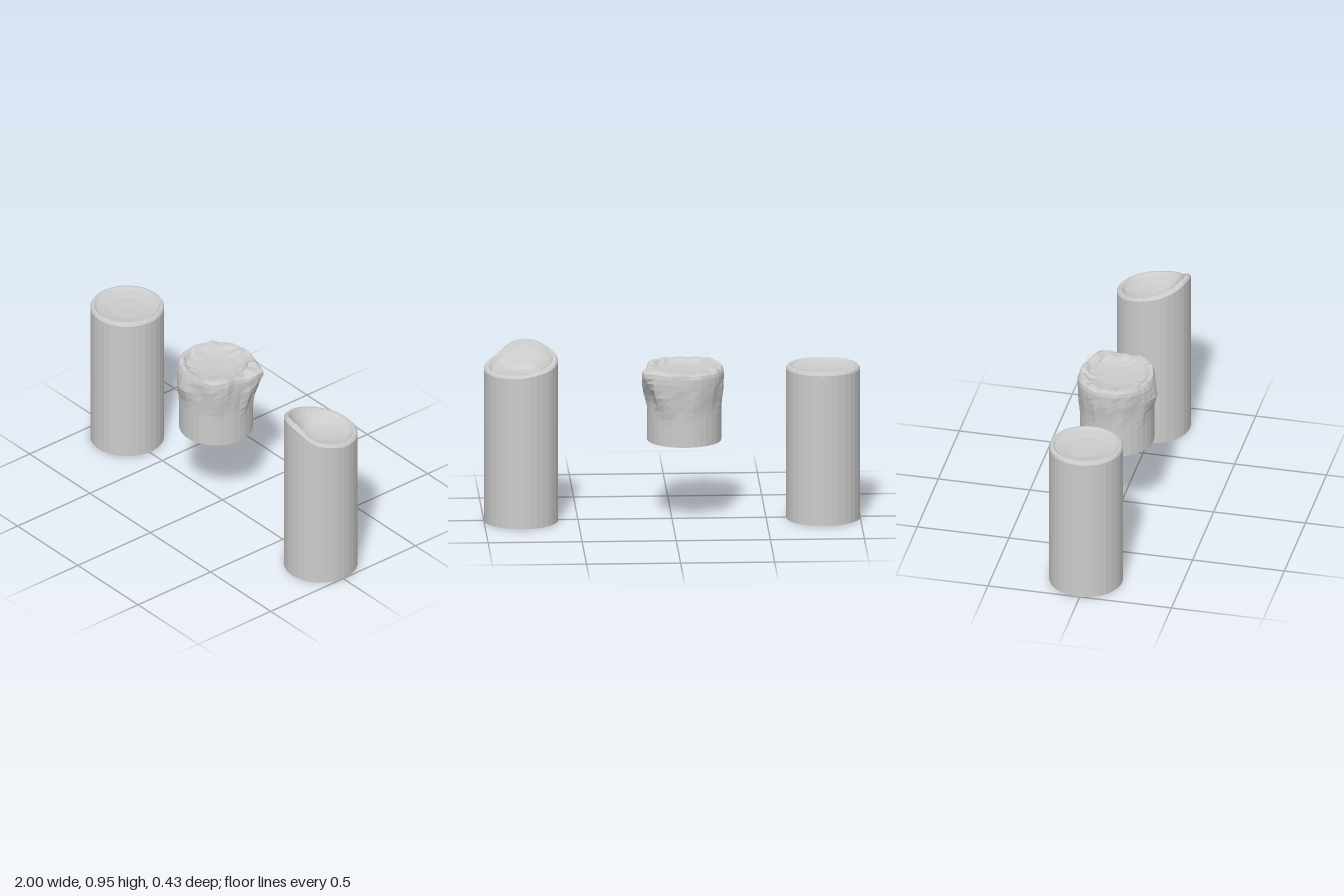
import * as THREE from 'three';

const SIDES = 32, R = 0.197;
const wax = new THREE.MeshStandardMaterial({ color: 0xcccccc, flatShading: true });

// Value at an angle (degrees) from a sparse, wrapping [angle, value] list.
function around(list, deg) {
  deg = ((deg % 360) + 360) % 360;
  for (let i = 0; i < list.length; i++) {
    const [a, u] = list[i];
    const [b, v] = i + 1 < list.length ? list[i + 1] : [list[0][0] + 360, list[0][1]];
    if (deg >= a && deg <= b) return u + (v - u) * (deg - a) / (b - a);
  }
  return list[0][1];
}

// Small repeatable noise in 0..1 for a column of the wax.
function noise(n) {
  const s = Math.sin(n * 12.9898) * 43758.5453;
  return s - Math.floor(s);
}

// Closed skin through rings; each ring maps (degrees, column) to [radius, height].
function loft(name, x, rings) {
  const pos = [], index = [];
  for (const ring of rings) {
    for (let j = 0; j < SIDES; j++) {
      const a = j / SIDES * Math.PI * 2;
      const [r, y] = ring(j / SIDES * 360, j);
      pos.push(Math.cos(a) * r, y, Math.sin(a) * r);
    }
  }
  for (let i = 0; i + 1 < rings.length; i++) {
    for (let j = 0; j < SIDES; j++) {
      const k = (j + 1) % SIDES;
      const a = i * SIDES + j, b = i * SIDES + k, c = a + SIDES, d = b + SIDES;
      index.push(a, c, b, b, c, d);
    }
  }
  const geo = new THREE.BufferGeometry();
  geo.setAttribute('position', new THREE.Float32BufferAttribute(pos, 3));
  geo.setIndex(index);
  geo.computeVertexNormals();
  const mesh = new THREE.Mesh(geo, wax);
  mesh.name = name;
  mesh.position.set(x, 0, -0.01);
  return mesh;
}

// Plain pillar candle with a bevelled rim and shallow bowl.
function plainCandle() {
  const profile = [[0, 0], [R, 0], [R, 0.818], [0.19, 0.83], [0.177, 0.833],
    [0.165, 0.824], [0.1, 0.812], [0, 0.808]];
  return loft('plainCandle', -0.803, profile.map(p => () => p));
}

// Tall candle whose rim has melted down at an angle.
function slantedCandle() {
  const rim = [[0, 0.828], [45, 0.86], [60, 0.885], [72, 0.918], [90, 0.935], [110, 0.938],
    [135, 0.915], [180, 0.878], [225, 0.843], [270, 0.822], [315, 0.818]];
  const level = (r, mix, base) => a => [r, base + (around(rim, a) - base) * mix];
  return loft('slantedCandle', 0.803, [
    () => [0, 0], () => [R, 0], level(R, 1, 0),
    a => [0.188, around(rim, a) + 0.011],
    a => [0.172, around(rim, a) + 0.013],
    level(0.155, 0.85, 0.815), level(0.1, 0.22, 0.808), level(0.06, 0.05, 0.806),
    () => [0, 0.804],
  ]);
}

// Short candle with wax that has run down the outside.
function drippingCandle() {
  // how far the overflow reaches at its thickest
  const bulge = [[0, 0.208], [12, 0.2], [25, 0.215], [50, 0.215], [70, 0.199], [96, 0.203],
    [120, 0.208], [180, 0.21], [215, 0.217], [240, 0.215], [270, 0.206], [300, 0.215],
    [314, 0.235], [327, 0.268], [343, 0.238]];
  const side = y => (a, j) => {
    const end = 0.54 + 0.12 * noise(j + 1);
    const t = THREE.MathUtils.smoothstep(y, end, end + 0.17);
    // thick run of wax on the front
    const front = 0.024 * Math.exp(-(((a - 99) / 16) ** 2) - ((y - 0.735) / 0.05) ** 2);
    return [R + (around(bulge, a) - R) * t + front + 0.004 * t * (noise(j * 7 + y * 50) - 0.5), y];
  };
  const wobble = j => 0.018 * (noise(j * 3 + 5) - 0.5);
  return loft('drippingCandle', -0.065, [
    () => [0, 0.435],
    ...[0.435, 0.54, 0.58, 0.62, 0.66, 0.7, 0.74, 0.775, 0.805].map(side),
    (a, j) => [around(bulge, a) - 0.004, 0.825 + wobble(j) * 0.5],
    (a, j) => [0.19 + (around(bulge, a) - R) * 0.5, 0.84 + wobble(j)],
    (a, j) => [0.173, 0.838 + wobble(j)],
    (a, j) => [0.15 + wobble(j), 0.822 + wobble(j + 9) * 0.5],
    (a, j) => [0.1 + wobble(j + 4) * 0.6, 0.814],
    () => [0, 0.81],
  ]);
}

export function createModel() {
  const group = new THREE.Group();
  group.name = 'candles';
  group.add(plainCandle(), drippingCandle(), slantedCandle());
  return group;
}
